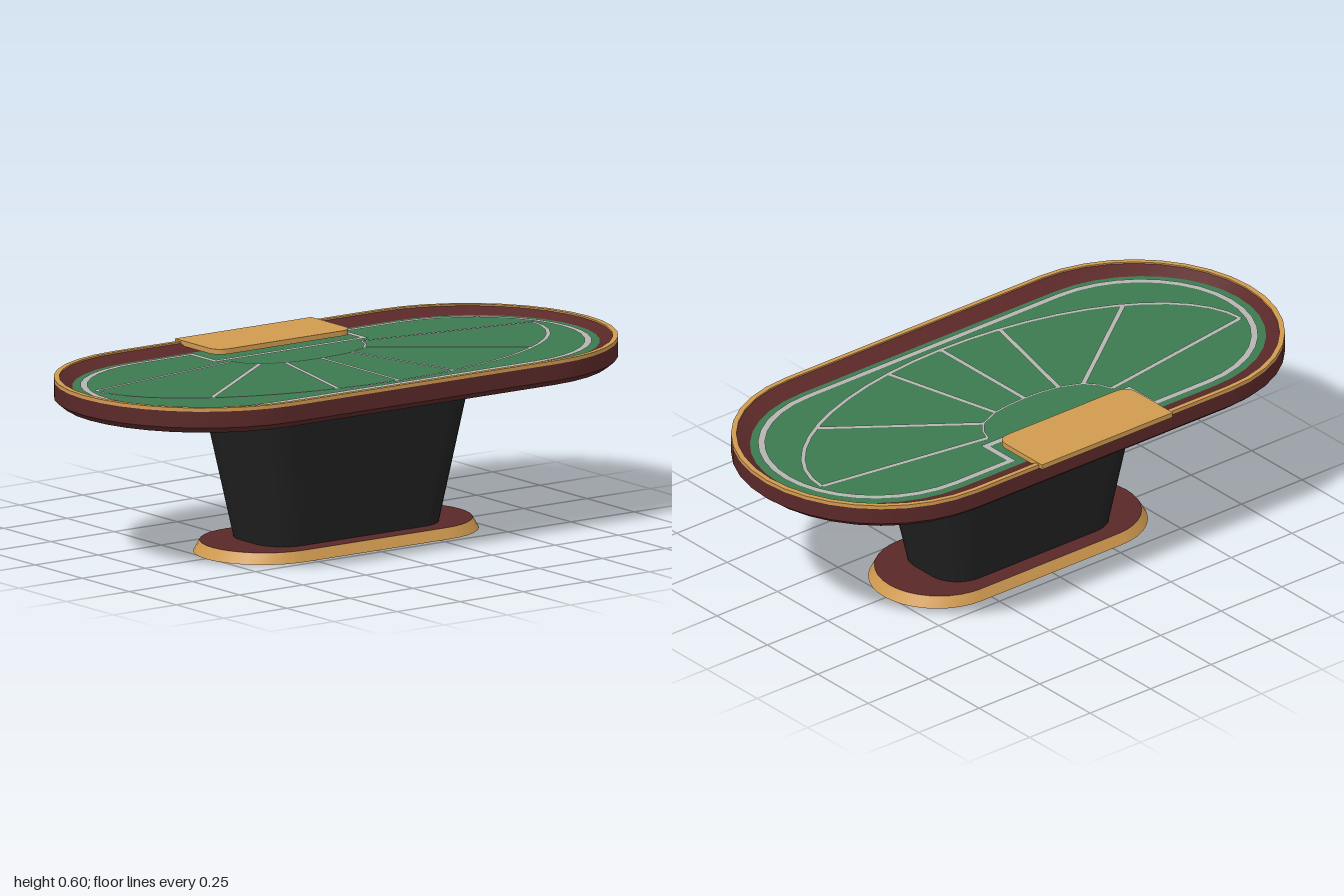
import * as THREE from 'three';
import { mergeGeometries } from 'three/addons/utils/BufferGeometryUtils.js';

const mat = (color) => new THREE.MeshStandardMaterial({ color });
const CENTRE_Z = 0.0075;

// Oblong with elliptical corners, as [x, z] points running clockwise seen from above
function outline(hx, hz, rx, rz, steps = 9) {
  const pts = [];
  for (let q = 0; q < 4; q++) {
    const sx = q === 0 || q === 3 ? 1 : -1;
    const sz = q < 2 ? 1 : -1;
    for (let i = 0; i <= steps; i++) {
      const a = (q + i / steps) * Math.PI / 2;
      const p = [sx * (hx - rx) + rx * Math.cos(a), sz * (hz - rz) + rz * Math.sin(a)];
      const last = pts[pts.length - 1] || [9, 9];
      if (Math.hypot(p[0] - last[0], p[1] - last[1]) > 1e-5) pts.push(p);
    }
  }
  const [f, l] = [pts[0], pts[pts.length - 1]];
  if (Math.hypot(f[0] - l[0], f[1] - l[1]) < 1e-5) pts.pop();
  return pts;
}

// Oblong with full round ends; s is half the straight length
const oval = (hx, hz, s) => outline(hx, hz, hx - s, hz);

function geometry(pos, idx) {
  const g = new THREE.BufferGeometry();
  g.setAttribute('position', new THREE.Float32BufferAttribute(pos, 3));
  g.setIndex(idx);
  g.computeVertexNormals();
  return g;
}

// Skin between successive outlines; every band has its own normals, so edges stay crisp
function loft(layers) {
  return mergeGeometries(layers.slice(1).map(([top, y1], k) => {
    const [bottom, y0] = layers[k];
    const n = top.length, pos = [], idx = [];
    bottom.forEach(([x, z]) => pos.push(x, y0, z));
    top.forEach(([x, z]) => pos.push(x, y1, z));
    for (let i = 0; i < n; i++) {
      const j = (i + 1) % n;
      idx.push(i, n + i, j, j, n + i, n + j);
    }
    return geometry(pos, idx);
  }));
}

// Flat cap, facing up or down
function cap(pts, y, up = true) {
  const shape = new THREE.Shape(pts.map(([x, z]) => new THREE.Vector2(x, up ? -z : z)));
  return new THREE.ShapeGeometry(shape).rotateX(up ? -Math.PI / 2 : Math.PI / 2).translate(0, y, 0);
}

// Flat mitred stripe along [x, z] points
function stripe(pts, width, y, closed = false) {
  const n = pts.length, pos = [], idx = [];
  const dir = (a, b) => new THREE.Vector2(b[0] - a[0], b[1] - a[1]).normalize();
  pts.forEach((p, i) => {
    const prev = pts[closed ? (i + n - 1) % n : Math.max(i - 1, 0)];
    const next = pts[closed ? (i + 1) % n : Math.min(i + 1, n - 1)];
    const d0 = prev === p ? dir(p, next) : dir(prev, p);
    const d1 = next === p ? d0 : dir(p, next);
    const t = d0.clone().add(d1).normalize();
    const w = width / 2 / Math.max(t.dot(d0), 0.4);
    pos.push(p[0] + t.y * w, y, p[1] - t.x * w, p[0] - t.y * w, y, p[1] + t.x * w);
  });
  for (let i = 0; i < (closed ? n : n - 1); i++) {
    const a = i * 2, b = ((i + 1) % n) * 2;
    idx.push(a, a + 1, b + 1, a, b + 1, b);
  }
  return geometry(pos, idx);
}

export function createModel() {
  const model = new THREE.Group();
  model.name = 'gamingTable';
  const gold = mat(0xd09a50), maroon = mat(0x5a2828), green = mat(0x3c7a4f);
  const black = mat(0x202020), white = mat(0xb4b4b0);
  const add = (name, geo, material) => {
    const mesh = new THREE.Mesh(geo, material);
    mesh.name = name;
    mesh.position.z = CENTRE_Z;
    model.add(mesh);
    return mesh;
  };

  // Foot plate
  const footLow = oval(0.512, 0.2205, 0.29), footHigh = oval(0.49, 0.206, 0.285);
  add('footRim', loft([[footLow, 0], [footHigh, 0.035]]), gold);
  add('footTop', cap(footHigh, 0.035), maroon);
  add('footUnderside', cap(footLow, 0, false), black);

  // Pedestal, tapering downwards
  const column = (k) => outline(0.46 * k, 0.195 * k, 0.14 * k, 0.14 * k);
  add('pedestal', loft([[column(0.76), 0.035], [column(1), 0.51]]), black);

  // Table body with chamfered lower edge
  const S = 0.525;
  const under = oval(0.975, 0.4535, S), edge = oval(1, 0.4775, S);
  const rimIn = oval(0.982, 0.461, S), feltEdge = oval(0.951, 0.401, S);
  add('tableUnderside', cap(under, 0.51, false), maroon);
  add('tableSide', loft([[under, 0.51], [edge, 0.53], [edge, 0.583]]), maroon);
  add('rim', loft([[edge, 0.583], [edge, 0.595], [rimIn, 0.595], [rimIn, 0.59]]), gold);
  add('armRail', loft([[rimIn, 0.59], [feltEdge, 0.57]]), maroon);
  add('felt', cap(feltEdge, 0.57), green);

  // Border stripe, notched around the dealer tray
  const lineY = 0.573;
  const border = oval(0.913, 0.369, 0.52);
  const back = border.findIndex(([x, z]) => z < -0.36 && x > 0);
  border.splice(back, 0, [-0.295, -0.369], [-0.295, -0.245], [0.295, -0.245], [0.295, -0.369]);
  add('borderLine', stripe(border, 0.022, lineY, true), white);

  // Betting arcs
  const outer = [];
  for (let i = 0; i <= 24; i++) {
    const a = Math.PI * i / 24;
    outer.push([0.865 * Math.cos(a), -0.115 + 0.45 * Math.sin(a)]);
  }
  add('outerArc', stripe(outer, 0.014, lineY), white);
  const half = [[-0.257, -0.21], [-0.24, -0.165], [-0.205, -0.125], [-0.13, -0.093], [-0.065, -0.083]];
  const inner = [...half, [0, -0.08], ...half.map(([x, z]) => [-x, z]).reverse()];
  add('innerArc', stripe(inner, 0.008, lineY), white);

  // Dividers between the betting places
  const dividers = [
    [[0.257, -0.208], [0.863, -0.115]],
    [[0.207, -0.126], [0.63, 0.187]],
    [[0.13, -0.093], [0.23, 0.317]],
  ];
  for (const d of dividers)
    for (const s of [-1, 1])
      add('divider', stripe(d.map(([x, z]) => [s * x, z]), 0.016, lineY + 0.0005), white);
  add('divider', stripe([[0, -0.08], [0, 0.335]], 0.016, lineY + 0.0005), white);

  // Dealer tray overhanging the back edge, rounded towards the players
  const w = 0.27, front = 0.26, rear = 0.485, r = 0.05;
  const tray = new THREE.Shape();
  tray.moveTo(-w + r, front);
  tray.lineTo(w - r, front);
  tray.quadraticCurveTo(w, front, w, front + r);
  tray.lineTo(w, rear);
  tray.lineTo(-w, rear);
  tray.lineTo(-w, front + r);
  tray.quadraticCurveTo(-w, front, -w + r, front);
  const trayGeo = new THREE.ExtrudeGeometry(tray, { depth: 0.017, bevelEnabled: false, curveSegments: 8 });
  add('dealerTray', trayGeo.rotateX(-Math.PI / 2).translate(0, 0.583, 0), gold).position.z = 0;

  return model;
}
